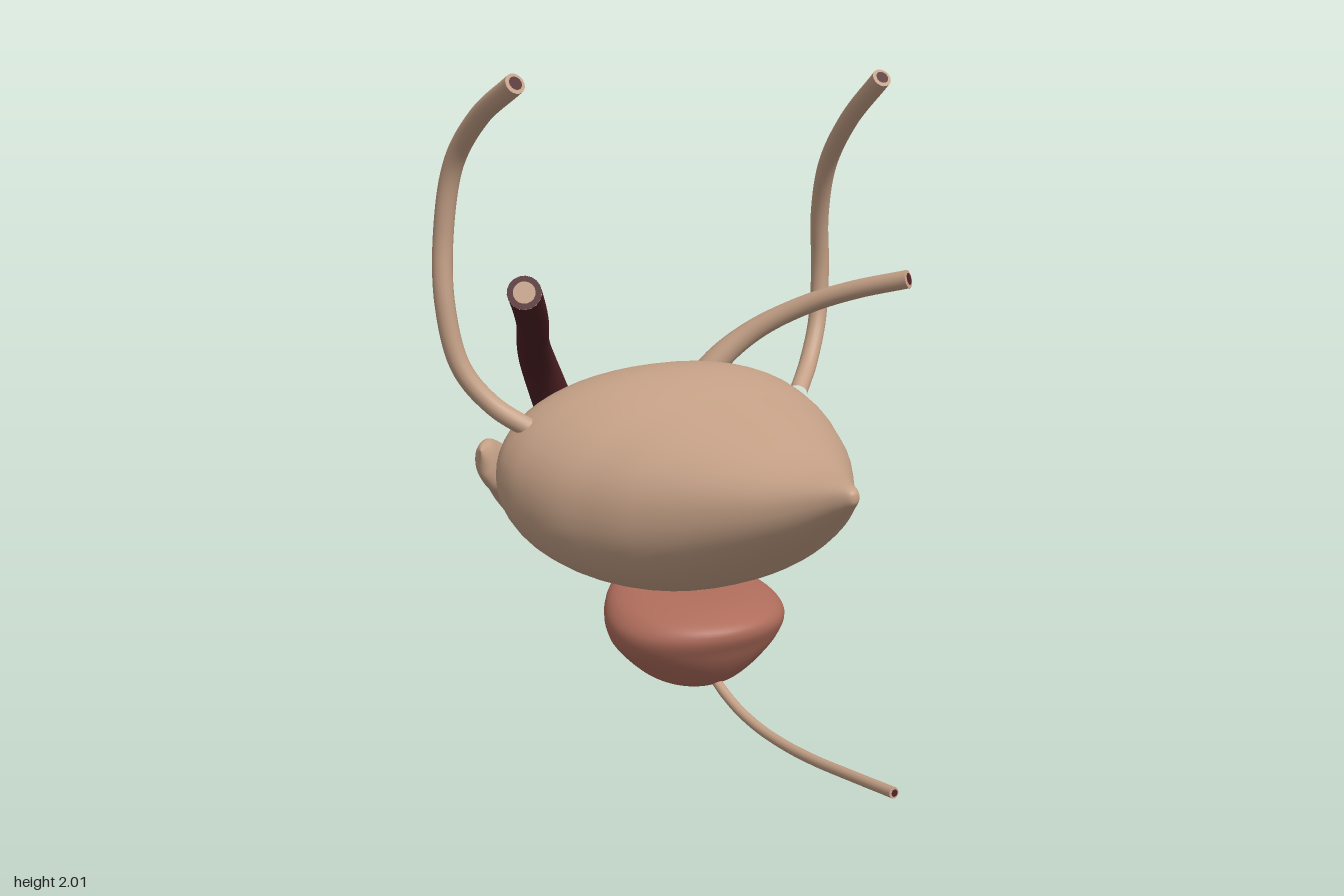
import * as THREE from 'three';

const V = (p) => new THREE.Vector3(...p);
const spline = (pts) => new THREE.CatmullRomCurve3(pts.map(V));
const spow = (v, e) => Math.sign(v) * Math.pow(Math.abs(v), e);

// Closed-ring surface: point(t, angle) with t running along the body
function loft(rows, cols, point) {
  const pos = [], idx = [];
  for (let i = 0; i <= rows; i++) {
    for (let j = 0; j < cols; j++) {
      const p = point(i / rows, (j / cols) * Math.PI * 2);
      pos.push(p.x, p.y, p.z);
      if (i === rows) continue;
      const a = i * cols + j, b = i * cols + (j + 1) % cols;
      idx.push(a, b, a + cols, b, b + cols, a + cols);
    }
  }
  const g = new THREE.BufferGeometry();
  g.setAttribute('position', new THREE.Float32BufferAttribute(pos, 3));
  g.setIndex(idx);
  g.computeVertexNormals();
  return g;
}

// Tube along points with a radius per point; flat squashes it along the ref direction
function sweep(pts, radii, { ref = () => new THREE.Vector3(1, 0, 0), flat = 1, rows = 64, cols = 18, bump = () => 1 } = {}) {
  const path = spline(pts), rad = spline(radii.map((r, i) => [r, i, 0]));
  return loft(rows, cols, (t, a) => {
    const c = path.getPoint(t), T = path.getTangent(t);
    const r = Math.max(rad.getPoint(t).x, 0.0005) * bump(t, a);
    const N = ref(c);
    N.addScaledVector(T, -N.dot(T)).normalize();
    const B = new THREE.Vector3().crossVectors(T, N);
    return c.addScaledVector(N, Math.cos(a) * r * flat).addScaledVector(B, Math.sin(a) * r);
  });
}

export function createModel() {
  const model = new THREE.Group();
  const mat = (name, color) => new THREE.MeshStandardMaterial({ name, color });
  const tan = mat('tan tissue', 0xc4a086);
  const rose = mat('rose gland', 0xae6c5b);
  const dark = mat('dark red duct', 0x4f2124);

  const add = (name, geometry, material, parent = model) => {
    const m = new THREE.Mesh(geometry, material);
    m.name = name;
    parent.add(m);
    return m;
  };

  // Duct whose first point is a cut end showing its bore
  const duct = (name, pts, radii, material, bore) => {
    const g = new THREE.Group();
    g.name = name;
    model.add(g);
    add('wall', sweep(pts, radii), material, g);
    const out = spline(pts).getTangent(0).negate();
    [[1, material, 0, 'cutEnd'], [0.65, bore, 0.003, 'bore']].forEach(([k, m, lift, label]) => {
      const disc = add(label, new THREE.CircleGeometry(radii[0] * k, 18), m, g);
      disc.position.copy(V(pts[0])).addScaledVector(out, lift);
      disc.quaternion.setFromUnitVectors(new THREE.Vector3(0, 0, 1), out);
    });
  };

  // Bladder: [z, top, bottom, half width] from the back to the pointed front
  const stations = [
    [-0.685, 0.8, 0.74, 0.0], [-0.68, 0.9, 0.68, 0.2], [-0.65, 0.98, 0.62, 0.38], [-0.6, 1.03, 0.56, 0.48],
    [-0.5, 1.07, 0.48, 0.57], [-0.4, 1.08, 0.43, 0.588], [-0.3, 1.07, 0.41, 0.572], [-0.2, 1.05, 0.41, 0.54],
    [-0.1, 1.025, 0.425, 0.49], [0, 1.0, 0.46, 0.435], [0.1, 0.975, 0.51, 0.365], [0.2, 0.95, 0.57, 0.29],
    [0.3, 0.925, 0.635, 0.215], [0.4, 0.907, 0.705, 0.14], [0.5, 0.9, 0.785, 0.068],
    [0.55, 0.895, 0.825, 0.034], [0.573, 0.884, 0.848, 0.016], [0.578, 0.868, 0.864, 0.0],
  ];
  const heights = spline(stations.map((s, i) => [s[1], s[2], i]));
  const widths = spline(stations.map((s, i) => [s[3], s[0], i]));
  add('bladder', loft(90, 56, (t, a) => {
    const h = heights.getPoint(t), w = widths.getPoint(t);
    return new THREE.Vector3(
      Math.max(w.x, 0) * spow(Math.cos(a), 0.92),
      (h.x + h.y) / 2 + (h.x - h.y) / 2 * spow(Math.sin(a), 0.92),
      w.y);
  }), tan);

  // Bladder neck
  const neck = add('bladderNeck', new THREE.CylinderGeometry(0.05, 0.04, 0.1, 20), tan);
  neck.position.set(0, 0.4, -0.25);

  // Prostate gland: [y, half width, front z, back z], top tilted up to the back
  const levels = [
    [0.06, 0, -0.28, -0.282], [0.066, 0.07, -0.19, -0.35], [0.1, 0.15, -0.11, -0.41], [0.17, 0.235, -0.045, -0.455],
    [0.24, 0.29, -0.005, -0.49], [0.3, 0.298, 0.018, -0.525], [0.345, 0.268, 0.01, -0.545],
    [0.375, 0.2, -0.06, -0.52], [0.385, 0.11, -0.15, -0.4], [0.385, 0, -0.25, -0.252],
  ];
  const sizes = spline(levels.map((s) => [s[0], s[1], 0]));
  const depths = spline(levels.map((s, i) => [s[2], s[3], i * 0.08]));
  add('prostate', loft(48, 48, (t, a) => {
    const s = sizes.getPoint(t), d = depths.getPoint(t);
    const x = Math.max(s.y, 0) * Math.sin(a);
    let z = (d.x + d.y) / 2 + (d.x - d.y) / 2 * Math.cos(a);
    // shallow groove down the back
    if (Math.cos(a) < 0) z += 0.025 * Math.exp(-x * x / 0.006) * Math.sin(Math.PI * t) * -Math.cos(a);
    const tilt = THREE.MathUtils.smoothstep(s.x, 0.22, 0.385) * (-0.25 - z) * 0.11;
    return new THREE.Vector3(x, s.x + tilt, z);
  }), rose);

  // Urethra
  duct('urethra', [[0, 0.068, 0.77], [0, 0.045, 0.58], [0, 0.025, 0.4], [0, 0.018, 0.25], [0, 0.026, 0.1],
    [0, 0.055, -0.03], [0, 0.11, -0.14], [0, 0.2, -0.2]], Array(8).fill(0.016), tan, dark);

  // Ureters
  const r = Array(8).fill(0.031);
  duct('leftUreter', [[0.6, 1.98, -0.09], [0.625, 1.84, -0.29], [0.66, 1.68, -0.45], [0.695, 1.5, -0.535],
    [0.722, 1.32, -0.565], [0.7, 1.14, -0.55], [0.62, 1.01, -0.49], [0.52, 0.93, -0.41]], r, tan, dark);
  duct('rightUreter', [[-0.615, 1.98, -0.2], [-0.635, 1.88, -0.4], [-0.655, 1.74, -0.54], [-0.675, 1.54, -0.585],
    [-0.685, 1.32, -0.575], [-0.65, 1.12, -0.55], [-0.57, 1.0, -0.5], [-0.47, 0.92, -0.42]], r, tan, dark);

  // Deferent ducts, swelling behind the bladder
  duct('rightDeferentDuct', [[-0.79, 1.455, 0.17], [-0.69, 1.38, 0], [-0.58, 1.295, -0.2], [-0.47, 1.2, -0.42],
    [-0.36, 1.09, -0.6], [-0.26, 0.93, -0.695], [-0.18, 0.73, -0.7], [-0.1, 0.54, -0.61], [-0.03, 0.4, -0.46]],
  [0.046, 0.046, 0.047, 0.05, 0.058, 0.066, 0.066, 0.05, 0.025], dark, tan);
  duct('leftDeferentDuct', [[0.8, 1.32, -0.18], [0.7, 1.27, -0.35], [0.6, 1.205, -0.5], [0.48, 1.115, -0.62],
    [0.37, 1.01, -0.685], [0.26, 0.86, -0.715], [0.17, 0.68, -0.695], [0.09, 0.52, -0.595], [0.03, 0.4, -0.46]],
  [0.031, 0.032, 0.034, 0.038, 0.046, 0.053, 0.055, 0.045, 0.025], tan, dark);

  // Seminal vesicles: flattened lumpy leaves hugging the back of the bladder
  for (const s of [1, -1]) {
    const pts = [[0.61, 0.86, -0.52], [0.57, 0.82, -0.57], [0.47, 0.74, -0.635], [0.34, 0.64, -0.655],
      [0.21, 0.53, -0.61], [0.12, 0.46, -0.54], [0.04, 0.4, -0.45]].map(([x, y, z]) => [s * x, y, z]);
    add(s > 0 ? 'leftSeminalVesicle' : 'rightSeminalVesicle',
      sweep(pts, [0, 0.062, 0.1, 0.108, 0.085, 0.05, 0.025], {
        ref: (c) => new THREE.Vector3(c.x * 0.9, -0.25, -0.7),
        flat: 0.55, cols: 24,
        bump: (t, a) => 1 + 0.1 * Math.sin(t * 24 + 2 * a) * Math.sin(Math.PI * t),
      }), tan);
  }
  return model;
}
